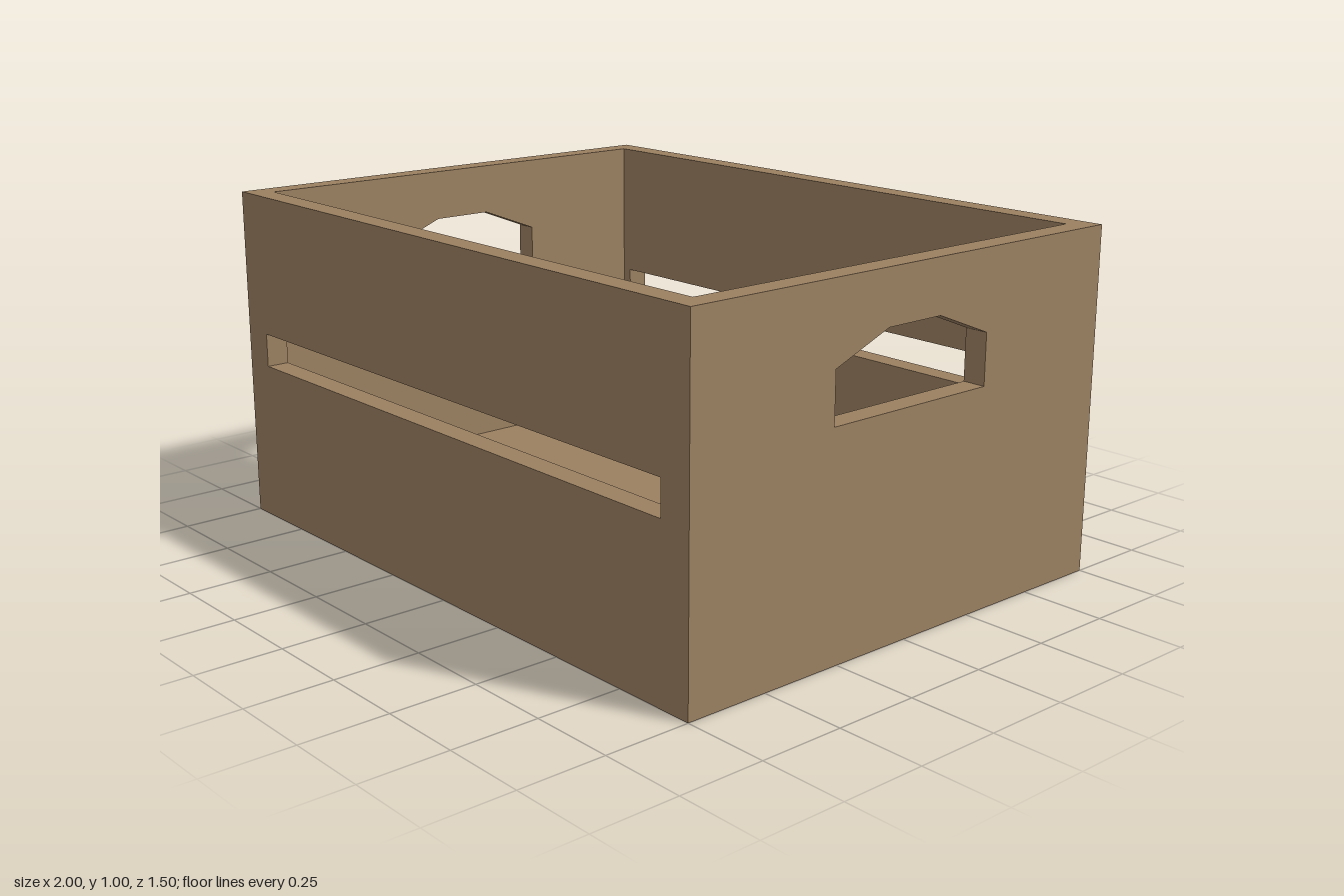
import * as THREE from 'three';

const WIDTH = 2, HEIGHT = 1, DEPTH = 1.5;
const WALL = 0.068, FLOOR = 0.1;

const wood = new THREE.MeshStandardMaterial({ color: 0x9b8061, flatShading: true });

// Upright board of the given width with one cut-out, centred on its thickness
function panelGeometry(width, cutout) {
  const w = width / 2;
  const shape = new THREE.Shape([[-w, 0], [w, 0], [w, HEIGHT], [-w, HEIGHT]].map(p => new THREE.Vector2(...p)));
  shape.holes.push(new THREE.Path(cutout.map(p => new THREE.Vector2(...p))));
  const geometry = new THREE.ExtrudeGeometry(shape, { depth: WALL, bevelEnabled: false });
  return geometry.translate(0, 0, -WALL / 2);
}

function addPart(group, name, geometry, x, y, z, turn = 0) {
  const mesh = new THREE.Mesh(geometry, wood);
  mesh.name = name;
  mesh.position.set(x, y, z);
  mesh.rotation.y = turn;
  group.add(mesh);
}

export function createModel() {
  const crate = new THREE.Group();
  crate.name = 'crate';

  // Front and back boards with a long horizontal slot
  const slot = [[-0.9, 0.48], [-0.9, 0.58], [0.9, 0.58], [0.9, 0.48]];
  const longPanel = panelGeometry(WIDTH, slot);
  const z = (DEPTH - WALL) / 2;
  addPart(crate, 'frontPanel', longPanel, 0, 0, z);
  addPart(crate, 'backPanel', longPanel, 0, 0, -z);

  // End boards with a chamfered hand hole, fitted between the long boards
  const handle = [[-0.28, 0.63], [-0.28, 0.775], [-0.095, 0.848], [0.095, 0.848], [0.28, 0.775], [0.28, 0.63]];
  const endPanel = panelGeometry(DEPTH - 2 * WALL, handle);
  const x = (WIDTH - WALL) / 2;
  addPart(crate, 'leftPanel', endPanel, x, 0, 0, Math.PI / 2);
  addPart(crate, 'rightPanel', endPanel, -x, 0, 0, -Math.PI / 2);

  // Floor set inside the walls
  const floor = new THREE.BoxGeometry(WIDTH - 2 * WALL, FLOOR, DEPTH - 2 * WALL);
  addPart(crate, 'floor', floor, 0, FLOOR / 2, 0);

  return crate;
}
